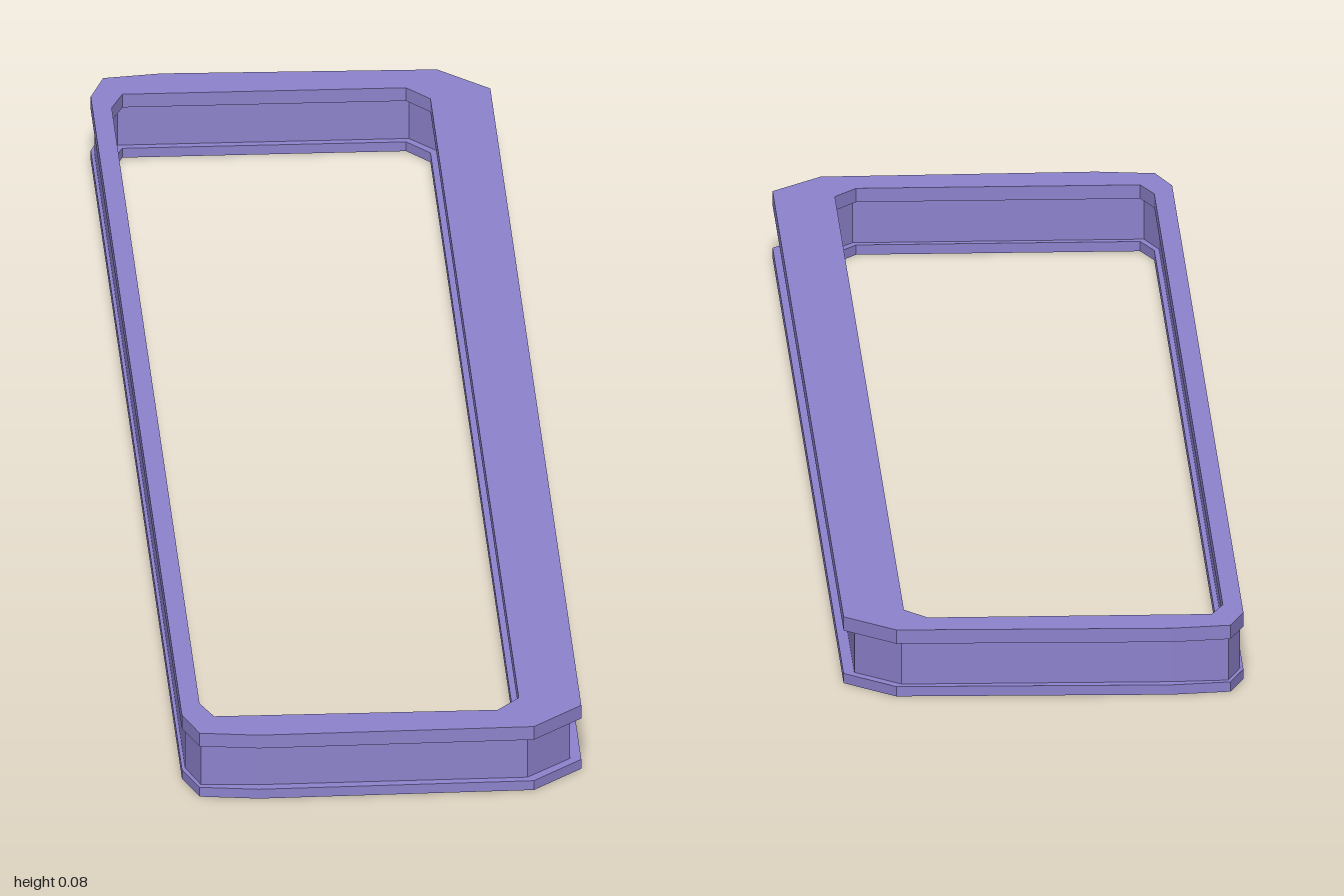
import * as THREE from 'three';

// Half outlines (x, z) from the left side round to the right; mirrored in z.
const flangeOuter = [[-0.238, 0.935], [-0.22, 0.99], [-0.15, 1.0], [0.178, 0.993], [0.238, 0.932]];
const flangeInner = [[-0.215, 0.9], [-0.2, 0.94], [0.138, 0.94], [0.165, 0.905]];
const webOuter = [[-0.234, 0.93], [-0.218, 0.982], [-0.15, 0.986], [0.171, 0.982], [0.225, 0.928]];
const webInner = [[-0.221, 0.905], [-0.205, 0.95], [0.142, 0.95], [0.174, 0.91]];

// Full clockwise outline from its half
function loop(half) {
  const mirrored = half.map(([x, z]) => [x, -z]).reverse();
  return [...half, ...mirrored].map(([x, z]) => new THREE.Vector2(x, z));
}

export function createModel() {
  const group = new THREE.Group();
  group.name = 'channelFrame';
  const material = new THREE.MeshStandardMaterial({ color: 0x8c81cb, flatShading: true });

  // A closed ring lying flat between two heights: outline anticlockwise, hole clockwise
  function ring(name, outer, inner, y0, y1) {
    const shape = new THREE.Shape(loop(outer).reverse());
    shape.holes.push(new THREE.Path(loop(inner)));
    const geometry = new THREE.ExtrudeGeometry(shape, { depth: y1 - y0, bevelEnabled: false });
    geometry.rotateX(-Math.PI / 2).translate(0, y0, 0);
    const mesh = new THREE.Mesh(geometry, material);
    mesh.name = name;
    group.add(mesh);
  }

  ring('bottomFlange', flangeOuter, flangeInner, 0, 0.012);
  ring('web', webOuter, webInner, 0.012, 0.065);
  ring('topFlange', flangeOuter, flangeInner, 0.065, 0.082);
  return group;
}
